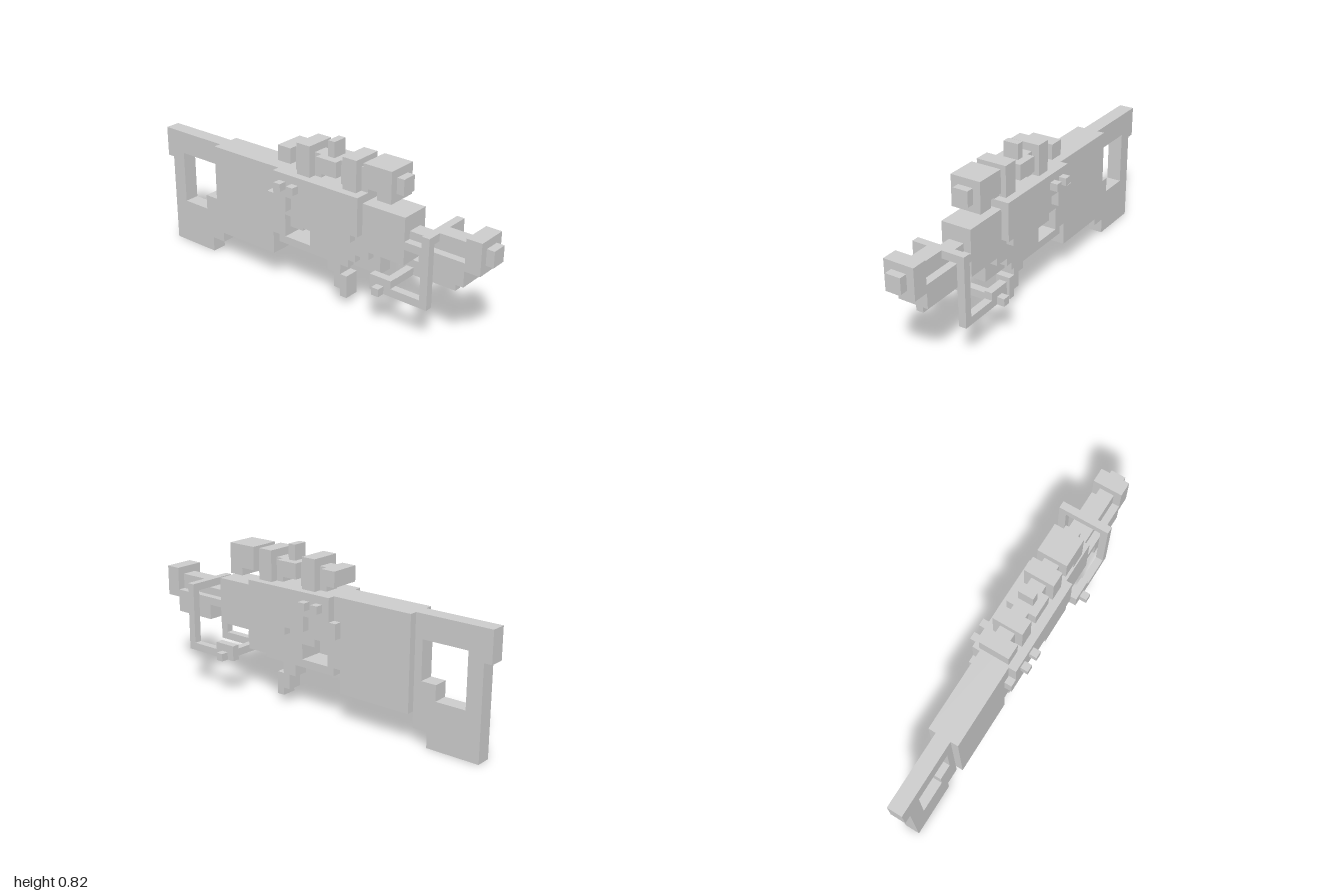
import * as THREE from 'three';

// Everything sits on a block grid: 51 blocks long, one block = U
const U = 2 / 51;
const mat = new THREE.MeshStandardMaterial({ color: 0xcccccc, flatShading: true });

export function createModel() {
  const model = new THREE.Group();
  model.name = 'blockRifle';

  // Box between block coordinates (x counted from the butt, y from the ground)
  function box(name, x0, x1, y0, y1, z0, z1) {
    const g = new THREE.BoxGeometry((x1 - x0) * U, (y1 - y0) * U, (z1 - z0) * U);
    const m = new THREE.Mesh(g, mat);
    m.name = name;
    m.position.set(((x0 + x1) / 2 - 25.5) * U, ((y0 + y1) / 2) * U, ((z0 + z1) / 2) * U);
    model.add(m);
  }

  // Side outline with optional hole, extruded across z
  function plate(name, outline, z0, z1, hole) {
    const pts = (a) => a.map(([x, y]) => new THREE.Vector2((x - 25.5) * U, y * U));
    const shape = new THREE.Shape(pts(outline));
    if (hole) shape.holes.push(new THREE.Path(pts(hole)));
    const g = new THREE.ExtrudeGeometry(shape, { depth: (z1 - z0) * U, bevelEnabled: false });
    const m = new THREE.Mesh(g, mat);
    m.name = name;
    m.position.z = z0 * U;
    model.add(m);
  }

  const N = [-0.5, 1.5]; // narrow parts
  const W = [-1.5, 2.5]; // wide parts

  // Stock with a stepped opening
  plate('stock',
    [[0, 16], [0, 12], [1, 12], [1, 0], [8, 0], [8, 2], [10, 2], [10, 16]], ...N,
    [[3, 13], [9, 13], [9, 8], [7, 8], [7, 6], [3, 6]]);

  // Receiver, its underside stepping up toward the barrel, with the trigger opening
  plate('receiver',
    [[10, 16], [10, 4], [20, 4], [20, 7], [21, 7], [21, 6], [32, 6], [32, 7], [33, 7], [33, 8],
      [35, 8], [35, 9], [40, 9], [40, 15], [34, 15], [34, 16]], ...W,
    [[22, 7], [22, 10], [26, 10], [26, 7]]);
  box('trigger', 22, 24, 8, 10, ...N);
  box('triggerHousing', 24, 26, 9, 10, ...W);
  box('keel', 32, 36, 6, 9, ...N);

  // Side panels with knobs, mirrored about the centre of the receiver
  const panel = [[21, 16], [21, 11], [23, 11], [23, 13], [25, 13], [25, 11], [28, 11], [28, 10],
    [33, 10], [33, 11], [34, 11], [34, 16]];
  for (const [a, b, c, d] of [[2.5, 3.5, 3.5, 4.5], [-2.5, -1.5, -3.5, -2.5]]) {
    plate('sidePanel', panel, a, b);
    box('panelTab', 20, 21, 11, 13, a, b);
    box('rearKnob', 22, 23, 14, 15, c, d);
    box('frontKnob', 24, 25, 14, 15, c, d);
  }

  // Stepped foregrip
  plate('foregrip',
    [[28, 6], [28, 4], [29, 4], [29, 2], [30, 2], [30, 1], [31, 1], [31, 4], [30, 4], [30, 6]], ...N);

  // Barrel, underbarrel block and muzzle
  box('barrel', 40, 48, 11, 13, ...N);
  box('barrelRidge', 43, 48, 13, 14, ...N);
  box('barrelSleeve', 40, 48, 11, 12, ...W);
  box('underbarrelBlock', 42, 48, 9, 11, ...W);
  box('muzzle', 48, 50, 11, 15, ...W);
  box('muzzleTip', 50, 51, 12, 14, ...N);

  // Folding bipod: crossbars joining a leg on each side
  box('bipodTopBar', 43, 44, 13, 14, -3.5, 3.5);
  box('bipodFootBar', 37, 38, 5, 6, -4.5, 4.5);
  for (const z of [-3.5, 2.5]) {
    box('bipodPost', 43, 44, 5, 13, z, z + 1);
    box('bipodRail', 36, 43, 5, 6, z, z + 1);
    box('bipodFoot', 36, 39, 6, 7, z, z + 1);
  }

  // Scope with rings, turret and objective
  box('scopeTube', 21, 39, 17, 19, ...N);
  for (const x of [24, 31]) {
    box('scopeRing', x, x + 2, 16, 20, ...W);
    box('scopeMount', x - 1, x + 3, 16, 17, ...N);
  }
  box('scopeEyepiece', 21, 23, 17, 19, ...W);
  box('scopeTurret', 27, 30, 17, 19, ...W);
  box('turretKnob', 28, 29, 19, 21, ...N);
  box('objectiveCollar', 34, 36, 17, 20, ...W);
  box('objective', 36, 38, 16, 20, ...W);

  return model;
}
